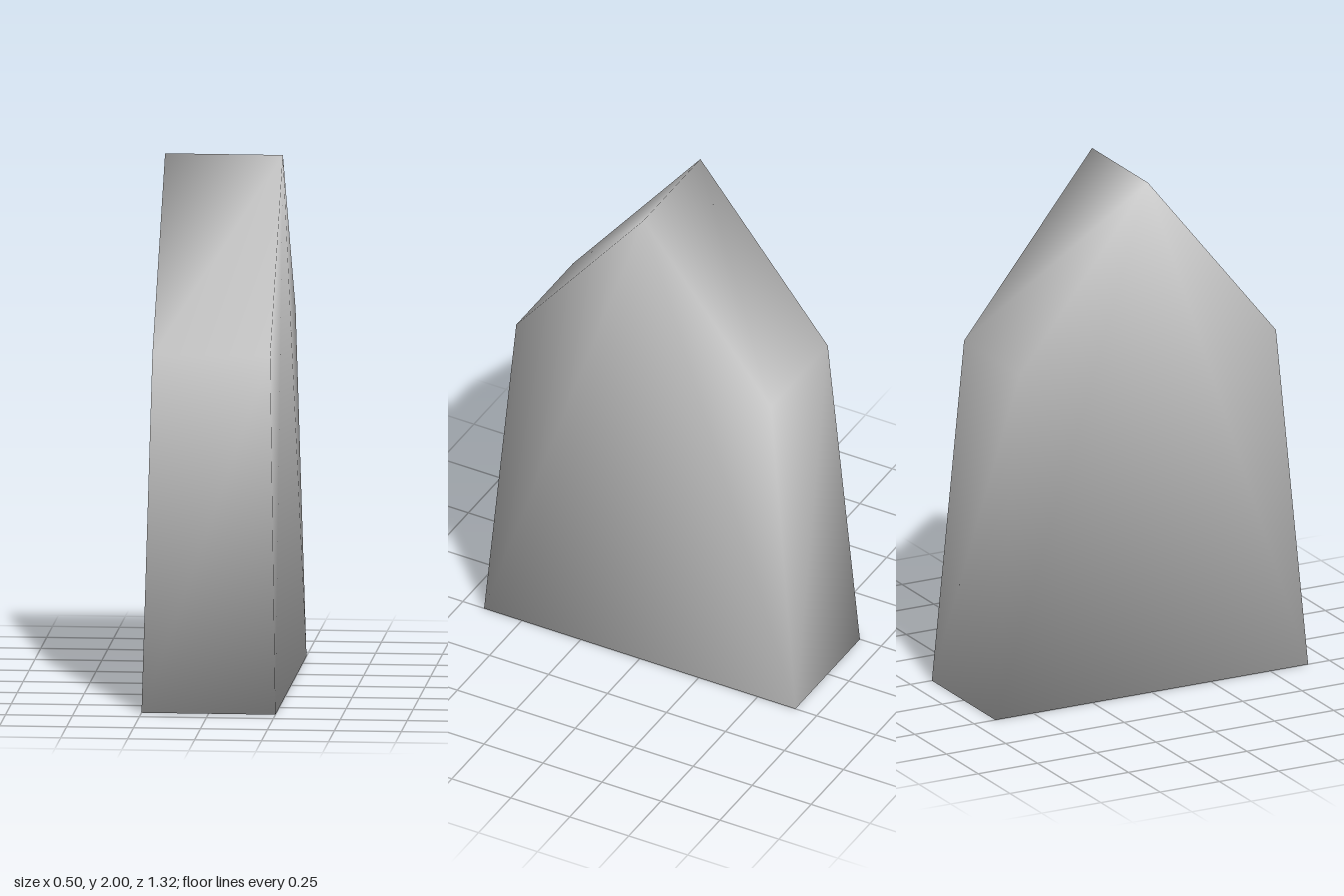
import * as THREE from 'three';

// Side outline from front foot over the ridge to back foot: [half thickness, y, z]
const PROFILE = [
  [0.25, 0, 0.66],
  [0.22, 1.33, 0.54],
  [0.22, 2, 0],
  [0.22, 1.33, -0.54],
  [0.25, 0, -0.66],
];

// Half of the shell; the other half is the same turned 180 degrees about y
const HALF = [
  [0, 5, 6], [0, 6, 1],            // wall
  [1, 6, 7], [1, 7, 2],            // slope up to the ridge
  [2, 3, 4], [2, 4, 0], [2, 0, 1], // pentagonal side
  [0, 4, 5],                       // half of the underside
];

function slabGeometry() {
  // Points 0-4 lie on the -x side, 5-9 on the +x side
  const points = [-1, 1].flatMap((side) =>
    PROFILE.map(([x, y, z]) => new THREE.Vector3(side * x, y, z)));
  const faces = [...HALF, ...HALF.map((face) => face.map((i) => 9 - i))];

  // Smooth normals: every touching face counts equally
  const normals = points.map(() => new THREE.Vector3());
  const triangle = new THREE.Triangle();
  const n = new THREE.Vector3();
  for (const [a, b, c] of faces) {
    triangle.set(points[a], points[b], points[c]).getNormal(n);
    for (const i of [a, b, c]) normals[i].add(n);
  }
  normals.forEach((v) => v.normalize());

  const flat = (list) => new THREE.Float32BufferAttribute(list.flatMap((v) => v.toArray()), 3);
  const geometry = new THREE.BufferGeometry();
  geometry.setAttribute('position', flat(points));
  geometry.setAttribute('normal', flat(normals));
  geometry.setIndex(faces.flat());
  return geometry;
}

export function createModel() {
  const grey = new THREE.MeshStandardMaterial({ color: 0xcccccc });
  grey.name = 'light grey';

  const slab = new THREE.Mesh(slabGeometry(), grey);
  slab.name = 'pointedSlab';

  const model = new THREE.Group();
  model.name = 'pointedStone';
  model.add(slab);
  return model;
}
